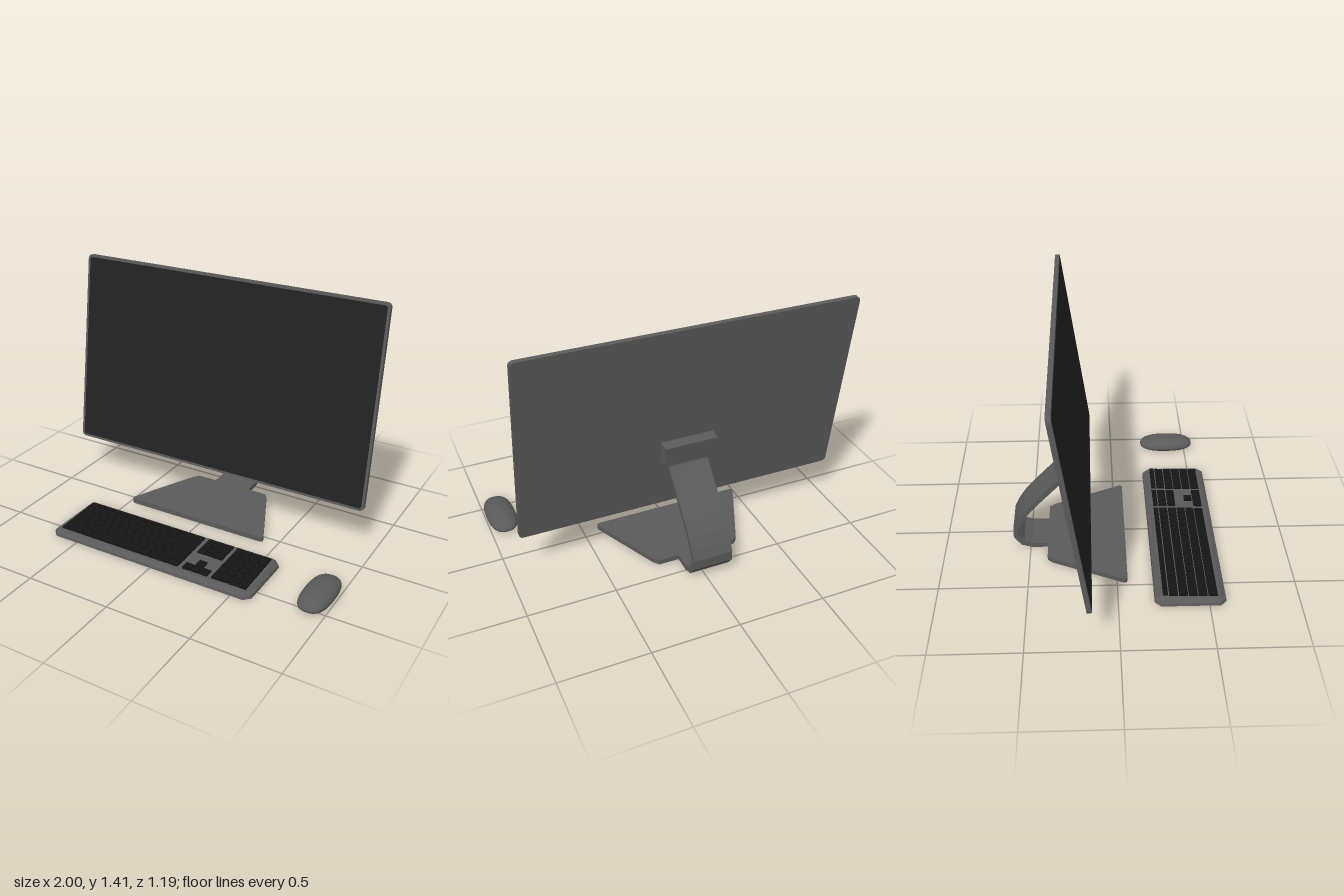
import * as THREE from 'three';
import { mergeGeometries } from 'three/addons/utils/BufferGeometryUtils.js';

const CX = -0.035; // shared centre line of monitor, stand and keyboard
const mat = (color, extra = {}) => new THREE.MeshStandardMaterial({ color, ...extra });
const casing = mat(0x5a5a5a, { flatShading: true });
const shellMat = mat(0x5a5a5a, { flatShading: true, side: THREE.DoubleSide });
const smoothCasing = mat(0x5a5a5a);
const screenMat = mat(0x222222);
const keyMat = mat(0x151515);

function add(parent, name, geometry, material) {
  const mesh = new THREE.Mesh(geometry, material);
  mesh.name = name;
  parent.add(mesh);
  return mesh;
}

// Plate with rounded corners, centred on the origin, thickness along z
function roundedPlate(w, h, r, depth) {
  const s = new THREE.Shape();
  const x = w / 2, y = h / 2;
  s.absarc(x - r, y - r, r, 0, Math.PI / 2);
  s.absarc(-x + r, y - r, r, Math.PI / 2, Math.PI);
  s.absarc(-x + r, -y + r, r, Math.PI, Math.PI * 1.5);
  s.absarc(x - r, -y + r, r, Math.PI * 1.5, Math.PI * 2);
  return new THREE.ExtrudeGeometry(s, { depth, bevelEnabled: false, curveSegments: 3 }).translate(0, 0, -depth / 2);
}

function createMonitor() {
  const g = new THREE.Group();
  g.name = 'monitor';
  add(g, 'monitorCase', roundedPlate(1.93, 1.168, 0.026, 0.026), casing);
  add(g, 'screen', roundedPlate(1.9, 1.138, 0.014, 0.003).translate(0, 0, 0.0125), screenMat);
  add(g, 'hingeBlock', new THREE.BoxGeometry(0.31, 0.125, 0.062).translate(0, -0.185, -0.048), casing);
  g.position.set(CX, 0.829, -0.239);
  g.rotation.x = -0.143;
  return g;
}

function createStand() {
  const g = new THREE.Group();
  g.name = 'stand';
  g.position.x = CX;

  // Base: trapezoid outline as [half width, z], mirrored across the centre
  const half = [[0.432, 0.058], [0.445, 0.05], [0.445, 0.035], [0.262, -0.365], [0.235, -0.397]];
  const outline = [...half, ...half.map(([x, z]) => [-x, z]).reverse()];
  const base = new THREE.Shape(outline.map(([x, z]) => new THREE.Vector2(x, -z)));
  add(g, 'base', new THREE.ExtrudeGeometry(base, { depth: 0.03, bevelEnabled: false }).rotateX(-Math.PI / 2), casing);

  // Arm: centre line in (z, y), thickened to a bent strip
  const path = [[-0.38, 0.015], [-0.49, 0.015], [-0.545, 0.032], [-0.583, 0.08], [-0.583, 0.13], [-0.558, 0.185],
    [-0.52, 0.245], [-0.468, 0.308], [-0.25, 0.54], [-0.243, 0.562], [-0.252, 0.6]].map(p => new THREE.Vector2(...p));
  const sides = [[], []];
  path.forEach((p, i) => {
    const a = p.clone().sub(path[Math.max(i - 1, 0)]).normalize();
    const b = path[Math.min(i + 1, path.length - 1)].clone().sub(p).normalize();
    const t = a.add(b).normalize();
    const n = new THREE.Vector2(-t.y, t.x).multiplyScalar(0.0145);
    sides[0].push(p.clone().add(n));
    sides[1].unshift(p.clone().sub(n));
  });
  const strip = new THREE.ExtrudeGeometry(new THREE.Shape(sides.flat()), { depth: 0.235, bevelEnabled: false });
  add(g, 'arm', strip.translate(0, 0, -0.1175).rotateY(-Math.PI / 2), casing);
  return g;
}

// Height of the sloping keyboard deck, z measured from the keyboard centre
const deckY = z => 0.034 - z * 0.035;

function createKeyboard() {
  const g = new THREE.Group();
  g.name = 'keyboard';
  g.position.set(CX, 0, 0.398);

  // Shell: three rings with cut corners, open underneath
  const ring = (inset, cut, height) => {
    const x = 0.645 - inset, z = 0.198 - inset;
    return [[x, z - cut], [x, cut - z], [x - cut, -z], [cut - x, -z], [-x, cut - z], [-x, z - cut], [cut - x, z], [x - cut, z]]
      .map(([px, pz]) => [px, height(pz), pz]);
  };
  const rings = [ring(0, 0.034, () => 0), ring(0.004, 0.034, () => 0.016), ring(0.03, 0.018, deckY)];
  const pos = [];
  for (let i = 0; i < 8; i++) {
    const j = (i + 1) % 8;
    for (let r = 0; r < 2; r++) {
      const [a, b, c, d] = [rings[r][i], rings[r][j], rings[r + 1][j], rings[r + 1][i]];
      pos.push(...a, ...b, ...c, ...a, ...c, ...d);
    }
    pos.push(...rings[2][i], ...rings[2][j], 0, deckY(0), 0);
  }
  const shell = new THREE.BufferGeometry();
  shell.setAttribute('position', new THREE.Float32BufferAttribute(pos, 3));
  shell.computeVertexNormals();
  add(g, 'keyboardShell', shell, shellMat);

  // Keys: rows of relative widths (negative = gap) for each block
  const rep = (n, v = 1) => Array(n).fill(v);
  const rowZ = [[0.245, 0.272], [0.279, 0.327], [0.334, 0.382], [0.388, 0.436], [0.442, 0.49], [0.496, 0.546]];
  const blocks = [
    { x: -0.64, width: 0.79, rows: [rep(14), [...rep(13), 2], [1.5, ...rep(12), 1.5], [1.75, ...rep(11), 2.25],
      [2.25, ...rep(10), 2.75], [1.25, 1.25, 1.25, 6.25, 1.25, 1.25, 1.25, 1.25]] },
    { x: 0.173, width: 0.162, rows: [rep(3), rep(3), rep(3), [-3], [-1, 1, -1], rep(3)] },
    { x: 0.355, width: 0.215, rows: [rep(4), rep(4), rep(4), rep(4), rep(4), [2, 1, 1]] },
  ];
  const keys = [];
  for (const { x, width, rows } of blocks) {
    rows.forEach((row, r) => {
      const unit = width / row.reduce((s, v) => s + Math.abs(v), 0);
      const [z0, z1] = rowZ[r];
      const z = (z0 + z1) / 2 - 0.398;
      let at = x - CX;
      for (const v of row) {
        const w = Math.abs(v) * unit;
        if (v > 0) keys.push(new THREE.BoxGeometry(w - 0.006, 0.022, z1 - z0).rotateX(0.035).translate(at + w / 2, deckY(z) - 0.001, z));
        at += w;
      }
    });
  }
  add(g, 'keys', mergeGeometries(keys), keyMat);
  return g;
}

function createMouse() {
  // Sphere squared off in plan, domed above and flattened below
  const geo = new THREE.SphereGeometry(1, 32, 20);
  const p = geo.attributes.position;
  const v = new THREE.Vector3();
  for (let i = 0; i < p.count; i++) {
    v.fromBufferAttribute(p, i);
    const flat = Math.hypot(v.x, v.z);
    const k = flat > 1e-6 ? flat / Math.pow(Math.abs(v.x) ** 2.6 + Math.abs(v.z) ** 2.6, 1 / 2.6) : 1;
    const y = v.y > 0 ? 0.028 + v.y * 0.05 : Math.max(0, 0.028 + v.y * 0.04);
    p.setXYZ(i, v.x * k * 0.0865, y, v.z * k * 0.175);
  }
  geo.computeVertexNormals();
  const g = new THREE.Group();
  add(g, 'mouseBody', geo, smoothCasing);
  g.name = 'mouse';
  g.position.set(0.912, 0, 0.378);
  return g;
}

export function createModel() {
  const model = new THREE.Group();
  model.name = 'desktopComputer';
  model.add(createMonitor(), createStand(), createKeyboard(), createMouse());
  return model;
}
